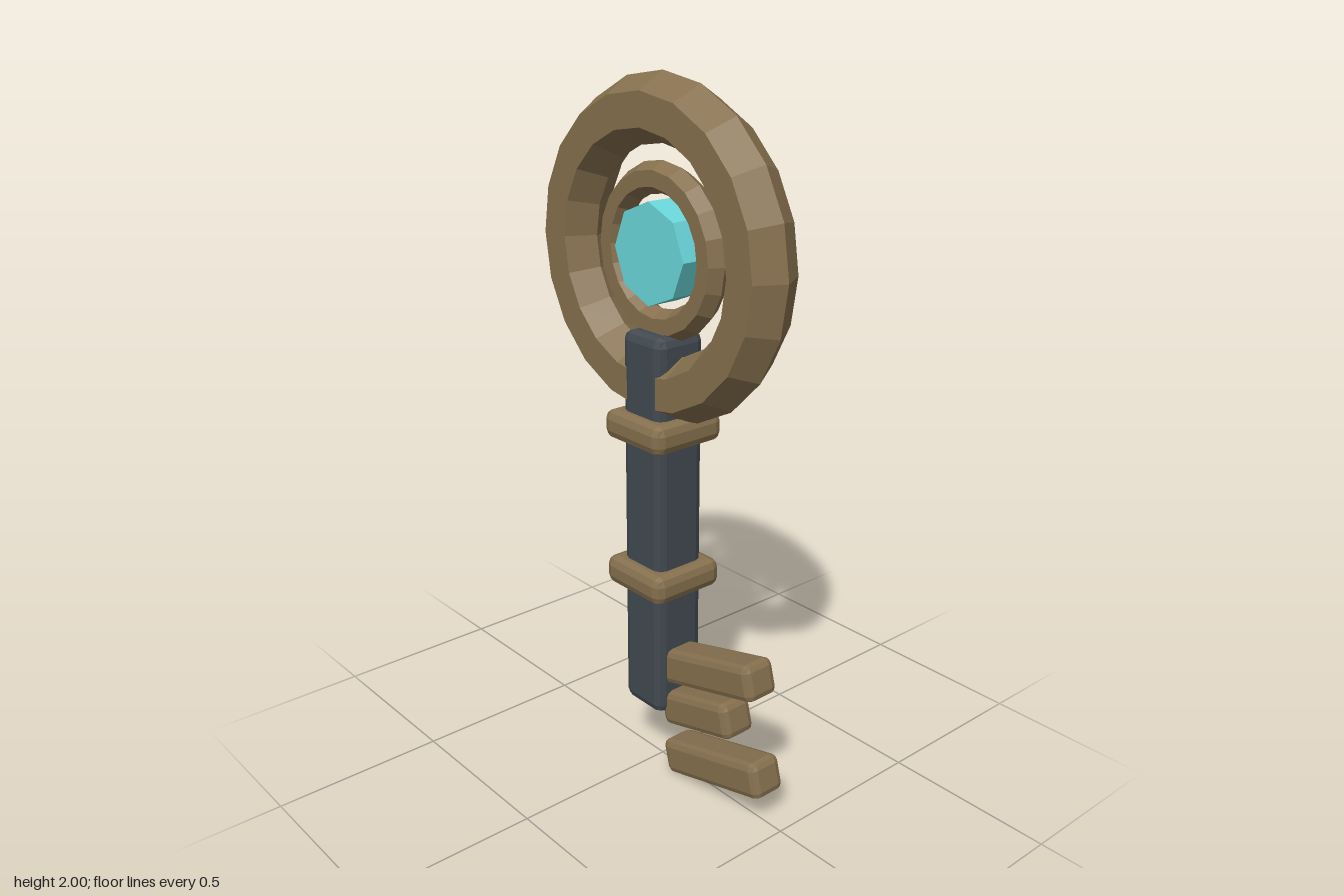
import * as THREE from 'three';
import { RoundedBoxGeometry } from 'three/addons/geometries/RoundedBoxGeometry.js';

const material = (color) => new THREE.MeshStandardMaterial({ color, flatShading: true });

export function createModel() {
  const key = new THREE.Group();
  key.name = 'key';
  const bronze = material(0x86704e);
  const iron = material(0x424a50);
  const crystal = material(0x6ad6da);

  const add = (name, geometry, mat, x, y, tilt = 0) => {
    const mesh = new THREE.Mesh(geometry, mat);
    mesh.name = name;
    mesh.position.set(x, y, 0);
    mesh.rotation.z = tilt;
    key.add(mesh);
    return mesh;
  };
  // Box with chamfered edges
  const block = (w, h, d, r) => new RoundedBoxGeometry(w, h, d, 1, r);

  // Bow: two concentric rings of hexagonal section around a gem
  const bowY = 1.54;
  add('outerRing', new THREE.TorusGeometry(0.37, 0.09, 6, 20), bronze, 0, bowY);
  add('innerRing', new THREE.TorusGeometry(0.195, 0.043, 6, 20), bronze, 0, bowY);
  const gem = new THREE.CylinderGeometry(0.138, 0.138, 0.1, 8).rotateX(Math.PI / 2);
  add('gem', gem, crystal, 0, bowY);

  // Shaft, running up through the outer ring to the inner one
  add('shaft', block(0.16, 1.13, 0.16, 0.026), iron, 0, 0.765);

  // Collars
  [['upperCollar', 1.061], ['lowerCollar', 0.618]].forEach(([name, y]) =>
    add(name, block(0.235, 0.084, 0.235, 0.026), bronze, 0, y));

  // Slanted teeth: name, length, x, y
  [
    ['upperTooth', 0.39, 0.222, 0.39],
    ['middleTooth', 0.28, 0.19, 0.245],
    ['lowerTooth', 0.39, 0.258, 0.1],
  ].forEach(([name, length, x, y]) =>
    add(name, block(length, 0.105, 0.106, 0.02), bronze, x, y, THREE.MathUtils.degToRad(15)));

  return key;
}
